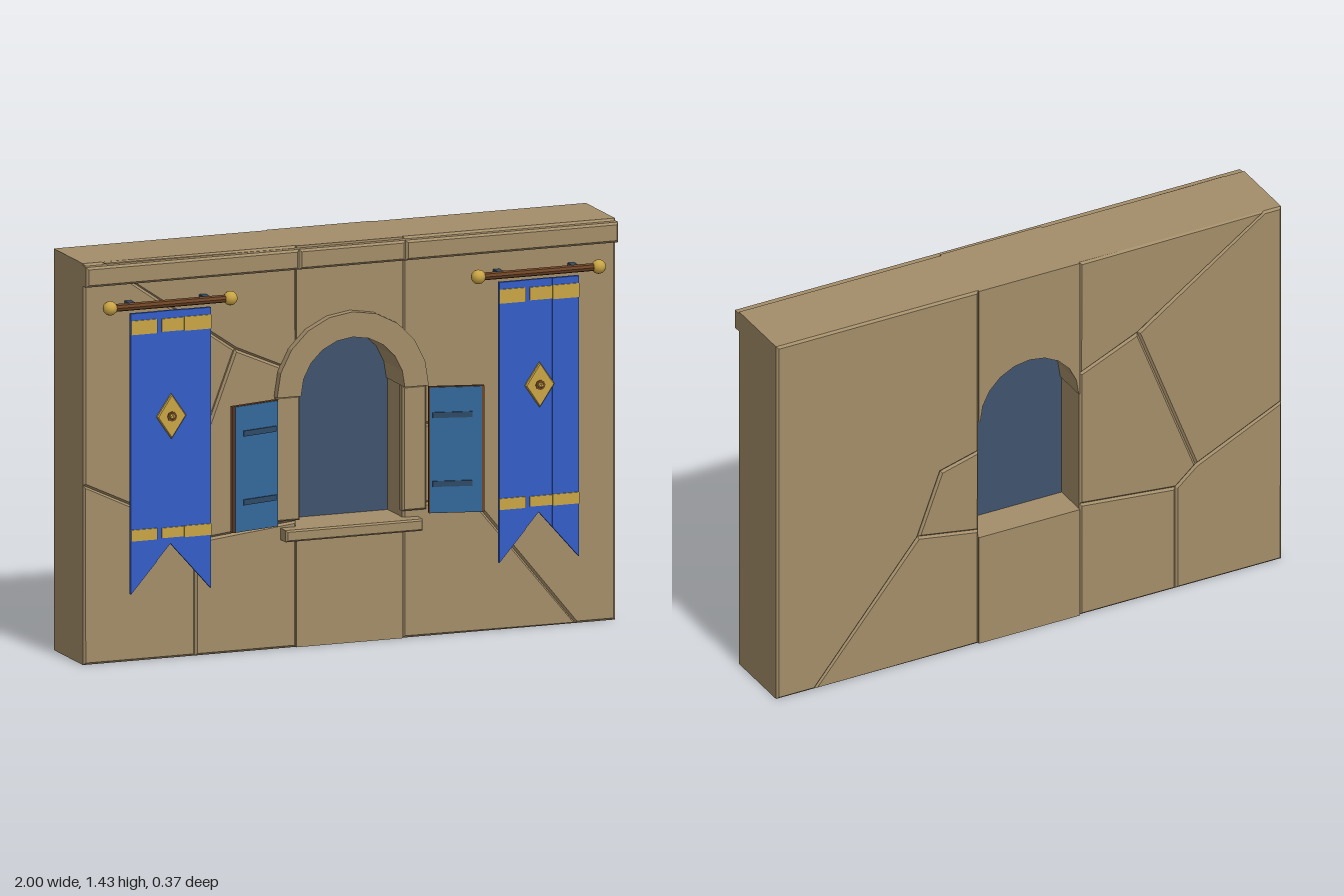
import * as THREE from 'three';

const mat = (name, color, side = THREE.FrontSide) => {
  const m = new THREE.MeshStandardMaterial({ color, side });
  m.name = name;
  return m;
};

export function createModel() {
  const root = new THREE.Group();
  root.name = 'castleWindowWall';
  const stone = mat('sandstone', 0xa38d69);
  const glass = mat('darkGlass', 0x40546e, THREE.DoubleSide);
  const cloth = mat('royalBlueCloth', 0x345ec8);
  const gold = mat('gold', 0xcaa545);
  const wood = mat('brownWood', 0x6e4526);
  const paint = mat('shutterBlue', 0x33699c);
  const iron = mat('darkIron', 0x2f4a68);

  const add = (parent, name, geo, material, x = 0, y = 0, z = 0) => {
    const mesh = new THREE.Mesh(geo, material);
    mesh.name = name;
    mesh.position.set(x, y, z);
    parent.add(mesh);
    return mesh;
  };
  const poly = (pts) => new THREE.Shape(pts.map(([x, y]) => new THREE.Vector2(x, y)));
  // Outline extruded from z0 to z1, with an optional chamfer that stays inside the outline
  const slab = (shape, z0, z1, bevel = 0) => new THREE.ExtrudeGeometry(shape, {
    depth: z1 - z0 - 2 * bevel, bevelEnabled: bevel > 0, bevelThickness: bevel,
    bevelSize: bevel, bevelOffset: -bevel, bevelSegments: 1,
  }).translate(0, 0, z0 + bevel);
  const rect = (x0, x1, y0, y1) => poly([[x0, y0], [x1, y0], [x1, y1], [x0, y1]]);
  // Half circle from +x over the top to -x
  const arc = (r, n = 10, cy = 0.9) => Array.from({ length: n + 1 }, (_, i) => {
    const a = Math.PI * i / n;
    return [r * Math.cos(a), cy + r * Math.sin(a)];
  });

  // Wall: irregular stones meeting in chamfered joints
  const wall = new THREE.Group();
  wall.name = 'wall';
  root.add(wall);
  const BACK = -0.185, FRONT = 0.1, TOP = 1.43;
  const stones = [
    [[-1, 0], [-0.58, 0], [-0.58, 0.41], [-0.66, 0.48], [-1, 0.64]],
    [[-0.58, 0], [-0.2, 0], [-0.2, 0.45], [-0.58, 0.41]],
    [[-1, 0.64], [-0.66, 0.48], [-0.43, 1.08], [-0.93, TOP], [-1, TOP]],
    [[-0.66, 0.48], [-0.58, 0.41], [-0.2, 0.45], [-0.2, 0.98], [-0.43, 1.08]],
    [[-0.43, 1.08], [-0.2, 0.98], [-0.2, TOP], [-0.93, TOP]],
    [[0.2, 0], [0.85, 0], [0.44, 0.5], [0.2, 0.46]],
    [[0.2, 0.46], [0.44, 0.5], [0.35, 0.74], [0.2, 0.78]],
    [[0.85, 0], [1, 0], [1, TOP], [0.2, TOP], [0.2, 0.78], [0.35, 0.74], [0.44, 0.5]],
  ];
  stones.forEach((p, i) => add(wall, `wallStone${i + 1}`, slab(poly(p), BACK, FRONT, 0.008), stone));
  add(wall, 'stoneBelowWindow', slab(rect(-0.2, 0.2, 0, 0.43), BACK, FRONT), stone);
  add(wall, 'stoneAboveWindow',
    slab(poly([[0.2, 0.9], [0.2, TOP], [-0.2, TOP], [-0.2, 0.9], ...arc(0.195).reverse()]), BACK, FRONT), stone);

  // Cornice along the front of the top edge
  [[-1, -0.2], [-0.2, 0.2], [0.2, 1]].forEach(([a, b]) =>
    add(wall, 'cornice', slab(rect(a, b, 1.35, 1.422), 0.08, 0.13, 0.008), stone));

  // Window: arch, jambs, sill and pane
  const win = new THREE.Group();
  win.name = 'window';
  root.add(win);
  add(win, 'arch', slab(poly([...arc(0.285), ...arc(0.195).reverse()]), 0.08, 0.13), stone);
  for (const s of [-1, 1]) {
    add(win, 'jamb', slab(rect(-0.045, 0.045, 0.455, 0.9), 0.08, 0.115, 0.006), stone, s * 0.238);
  }
  add(win, 'sill', slab(rect(-0.26, 0.255, 0.388, 0.43), 0.06, 0.153, 0.006), stone);
  add(win, 'pane', slab(poly([[-0.2, 0.425], [0.2, 0.425], ...arc(0.2)]), -0.05, -0.042), glass);

  // Shutters swung open, hinged beside the jambs
  for (const s of [-1, 1]) {
    const shutter = new THREE.Group();
    shutter.name = s < 0 ? 'rightShutter' : 'leftShutter';
    shutter.position.set(s * 0.285, 0.67, 0.127);
    shutter.rotation.y = -s * 0.25;
    root.add(shutter);
    add(shutter, 'shutterFrame', new THREE.BoxGeometry(0.195, 0.45, 0.016), wood, s * 0.0975);
    add(shutter, 'shutterPanel', new THREE.BoxGeometry(0.183, 0.446, 0.008), paint, s * 0.0955, 0, 0.007);
    for (const y of [-0.12, 0.125]) {
      add(shutter, 'strap', new THREE.BoxGeometry(0.14, 0.02, 0.007), iron, s * 0.083, y, 0.0125);
    }
  }

  // Hanging banners with rods, brackets and gold trim
  const banner = (name, cx) => {
    const g = new THREE.Group();
    g.name = name;
    g.position.x = cx;
    root.add(g);
    const tail = (x) => 0.25 + (0.15 - Math.abs(x)) * 1.133;
    const strip = (a, b) => poly([[a, 1.25], [a, tail(a)],
      ...(a < 0 && b > 0 ? [[0, 0.42]] : []), [b, tail(b)], [b, 1.25]]);
    add(g, 'clothSide', slab(strip(-0.15, -0.052), 0.14, 0.154), cloth);
    add(g, 'clothMiddle', slab(strip(-0.052, 0.05), 0.138, 0.15), cloth);
    add(g, 'clothSide', slab(strip(0.05, 0.15), 0.14, 0.154), cloth);
    for (const [y0, y1] of [[1.175, 1.225], [0.44, 0.48]]) {
      add(g, 'goldBand', slab(rect(-0.15, -0.052, y0, y1), 0.152, 0.158), gold);
      add(g, 'goldBand', slab(rect(-0.034, 0.05, y0 + 0.002, y1 - 0.002), 0.148, 0.154), gold);
      add(g, 'goldBand', slab(rect(0.05, 0.15, y0, y1), 0.152, 0.158), gold);
    }
    add(g, 'diamondEmblem', slab(poly([[-0.055, 0], [0, -0.08], [0.055, 0], [0, 0.08]]), 0.148, 0.164, 0.004), gold, 0, 0.875);
    add(g, 'emblemRing', new THREE.CylinderGeometry(0.018, 0.018, 0.006, 8).toNonIndexed().rotateX(Math.PI / 2), wood, 0, 0.875, 0.165);
    add(g, 'emblemBoss', new THREE.IcosahedronGeometry(0.012, 0), gold, 0, 0.875, 0.166);
    const rod = new THREE.CylinderGeometry(0.014, 0.014, 0.45, 8).toNonIndexed().rotateZ(Math.PI / 2);
    rod.computeVertexNormals();
    add(g, 'rod', rod, wood, 0, 1.275, 0.147);
    for (const s of [-1, 1]) {
      add(g, 'rodKnob', new THREE.IcosahedronGeometry(0.026, 1), gold, s * 0.226, 1.275, 0.147);
      add(g, 'rodBracket', new THREE.BoxGeometry(0.024, 0.024, 0.055), iron, s * 0.14, 1.275, 0.118);
    }
  };
  banner('rightBanner', -0.694);
  banner('leftBanner', 0.69);

  return root;
}
